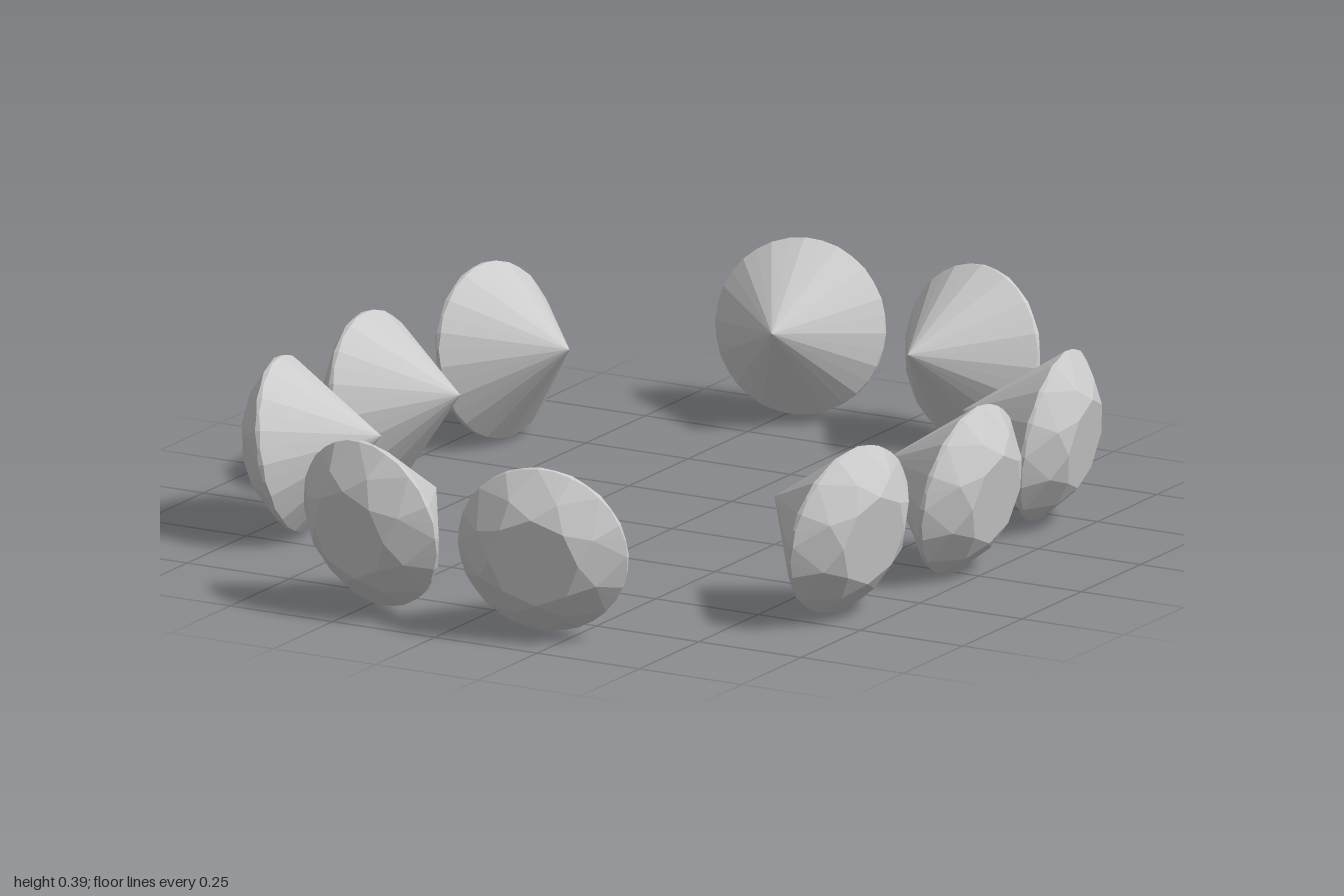
import * as THREE from 'three';

const R = 0.188;          // girdle radius
const TABLE_R = 0.1, TABLE_Z = 0.074;
const STAR_R = 0.14, GIRDLE_Z = 0.006;
const CULET_Z = -0.206;
const STEP = Math.PI / 16; // 32 steps round the stone

// Brilliant-cut stone: table faces +z, culet points to -z
function gemGeometry() {
  const pos = [];
  const at = (r, i, z) => [r * Math.cos(i * STEP), r * Math.sin(i * STEP), z];
  const tri = (a, b, c) => pos.push(...a, ...b, ...c);
  const slope = (TABLE_Z - GIRDLE_Z) / (R - TABLE_R);
  const starZ = GIRDLE_Z + slope * (R - STAR_R * Math.cos(2 * STEP));

  const top = [0, 0, TABLE_Z], culet = [0, 0, CULET_Z];
  const table = (i) => at(TABLE_R, i, TABLE_Z);
  const star = (i) => at(STAR_R, i, starZ);
  // scalloped girdle edge, thinner between the facet corners
  const rim = (i, side) => at(R, i, side * (i % 2 ? 0.003 : GIRDLE_Z));

  // crown: eight table, star, kite and upper girdle sectors
  for (let k = 0; k < 8; k++) {
    const a = 4 * k, m = a + 2, b = a + 4;
    tri(top, table(a), table(b));
    tri(table(a), star(m), table(b));
    tri(table(a), rim(a, 1), star(m));
    tri(table(b), star(m), rim(b, 1));
    for (let i = a; i < b; i++) tri(star(m), rim(i, 1), rim(i + 1, 1));
  }
  // girdle band and pavilion
  for (let i = 0; i < 32; i++) {
    tri(rim(i, 1), rim(i, -1), rim(i + 1, -1));
    tri(rim(i, 1), rim(i + 1, -1), rim(i + 1, 1));
    tri(rim(i + 1, -1), rim(i, -1), culet);
  }
  const g = new THREE.BufferGeometry();
  g.setAttribute('position', new THREE.Float32BufferAttribute(pos, 3));
  g.computeVertexNormals();
  return g;
}

export function createModel() {
  const group = new THREE.Group();
  group.name = 'gemRing';
  const geometry = gemGeometry();
  const material = new THREE.MeshStandardMaterial({ color: 0xcccccc, flatShading: true });
  const deg = Math.PI / 180;

  // yaw is measured from +z towards +x; tables tip slightly downwards
  function addGem(name, x, y, z, yaw) {
    const gem = new THREE.Mesh(geometry, material);
    gem.name = name;
    gem.position.set(x, y, z);
    gem.rotation.set(10 * deg, yaw * deg, 0, 'YXZ');
    group.add(gem);
  }

  for (const sx of [1, -1]) {
    const side = sx > 0 ? 'left' : 'right';
    addGem(`${side}MiddleGem`, sx * 0.72, 0.19, 0, sx * 90);
    for (const sz of [1, -1]) {
      const end = sz > 0 ? 'Front' : 'Back';
      const yaw = (a) => sx * (sz > 0 ? a : 180 - a);
      addGem(`${side}${end}SideGem`, sx * 0.68, 0.2, sz * 0.432, yaw(80));
      addGem(`${side}${end}EndGem`, sx * 0.21, 0.204, sz * 0.905, yaw(12.5));
    }
  }
  return group;
}
